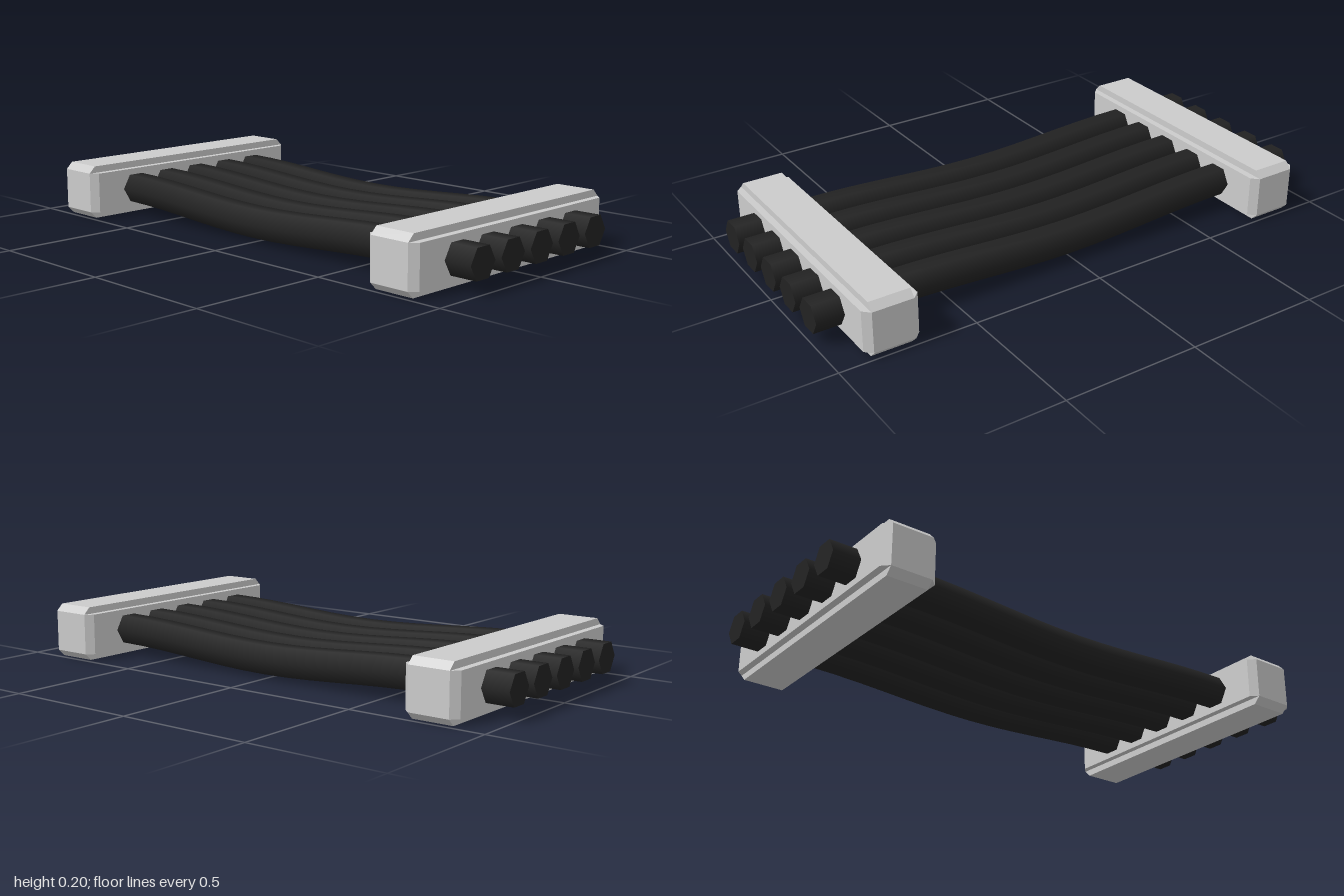
import * as THREE from 'three';

const BEAM = 0.2, CORE = 0.15, CUT = 0.025, LENGTH = 1;
const TUBE_RADIUS = 0.06, SAG = 0.03, SPAN = 0.7;

// Slab along z with chamfered ends: octagon outline, extruded evenly about its middle
function chamferedSlab() {
  const w = BEAM / 2, l = LENGTH / 2;
  const outline = new THREE.Shape([
    [w, l - CUT], [w - CUT, l], [CUT - w, l], [-w, l - CUT],
    [-w, CUT - l], [CUT - w, -l], [w - CUT, -l], [w, CUT - l],
  ].map(([x, y]) => new THREE.Vector2(x, y)));
  const geometry = new THREE.ExtrudeGeometry(outline, { depth: CORE, bevelEnabled: false });
  return geometry.translate(0, 0, -CORE / 2).rotateX(Math.PI / 2);
}

// Six-sided rod along x, dipping smoothly between the two beams
function saggingRod() {
  const geometry = new THREE.CylinderGeometry(TUBE_RADIUS, TUBE_RADIUS, 2, 6, 20);
  geometry.rotateZ(Math.PI / 2);
  const p = geometry.attributes.position;
  for (let i = 0; i < p.count; i++) {
    const t = Math.min(Math.abs(p.getX(i)) / SPAN, 1);
    p.setY(i, p.getY(i) - (SAG / 2) * (1 + Math.cos(Math.PI * t)));
  }
  return geometry;
}

export function createModel() {
  const model = new THREE.Group();
  model.name = 'slungRodPanel';
  const grey = new THREE.MeshStandardMaterial({ color: 0xcccccc, flatShading: true });
  const black = new THREE.MeshStandardMaterial({ color: 0x222222 });

  // Cross beams: two crossed slabs leave a square notch along every long edge
  const slab = chamferedSlab();
  for (const side of [-1, 1]) {
    const beam = new THREE.Group();
    beam.name = side > 0 ? 'leftBeam' : 'rightBeam';
    beam.position.set(side * 0.8, BEAM / 2, 0);
    const wide = new THREE.Mesh(slab, grey);
    wide.name = 'wideSlab';
    const tall = new THREE.Mesh(slab, grey);
    tall.name = 'tallSlab';
    tall.rotation.z = Math.PI / 2;
    beam.add(wide, tall);
    model.add(beam);
  }

  // Five parallel rods passing through both beams
  const rodGeometry = saggingRod();
  for (let i = 0; i < 5; i++) {
    const rod = new THREE.Mesh(rodGeometry, black);
    rod.name = `rod${i + 1}`;
    rod.position.set(0, BEAM / 2, (i - 2) * 0.15);
    model.add(rod);
  }
  return model;
}
